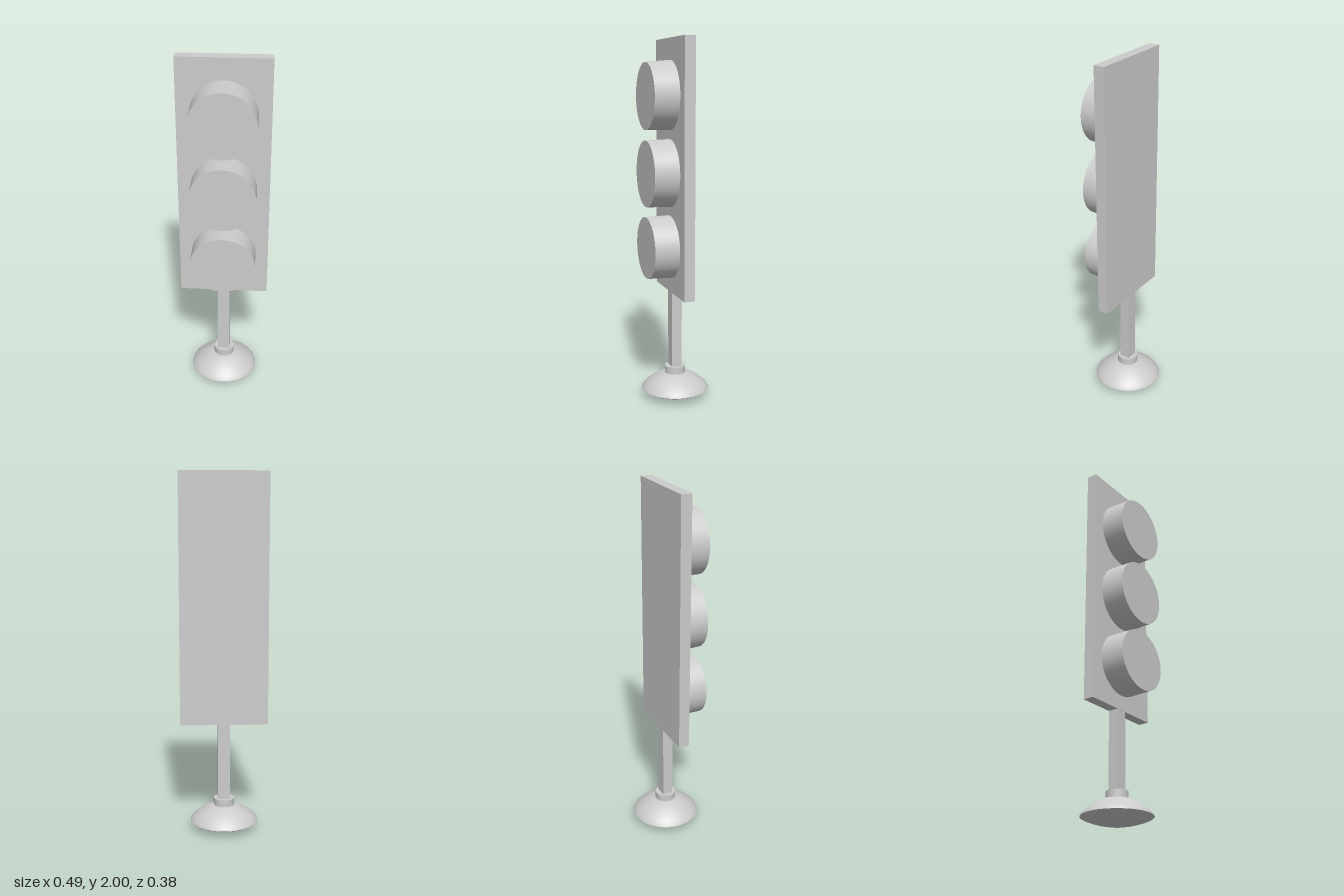
import * as THREE from 'three';

export function createModel() {
  const group = new THREE.Group();
  const material = new THREE.MeshStandardMaterial({ color: 0xcccccc });
  const add = (name, geometry, x = 0, y = 0, z = 0) => {
    const mesh = new THREE.Mesh(geometry, material);
    mesh.name = name;
    mesh.position.set(x, y, z);
    group.add(mesh);
    return mesh;
  };
  const lathe = (points) =>
    new THREE.LatheGeometry(points.map(([r, y]) => new THREE.Vector2(r, y)), 48);

  // Flat signal board and the square post that carries it
  add('signalBoard', new THREE.BoxGeometry(0.492, 1.39, 0.06), 0, 1.305, 0);
  add('post', new THREE.BoxGeometry(0.068, 0.5, 0.058), 0, 0.39, 0);

  // Three protruding lamps, slightly wider where they meet the board
  const lamps = [
    ['topLamp', 1.692, 0.18, 1.697, 0.187],
    ['middleLamp', 1.276, 0.181, 1.276, 0.186],
    ['bottomLamp', 0.867, 0.17, 0.867, 0.174],
  ];
  for (const [name, frontY, frontR, backY, backR] of lamps) {
    const geometry = new THREE.CylinderGeometry(1, 1, 0.14, 64);
    geometry.rotateX(Math.PI / 2);
    const p = geometry.attributes.position;
    for (let i = 0; i < p.count; i++) {
      const front = p.getZ(i) > 0;
      p.setX(i, p.getX(i) * 0.178);
      p.setY(i, p.getY(i) * (front ? frontR : backR) + (front ? 0 : backY - frontY));
    }
    add(name, geometry, 0, frontY, 0.098);
  }

  // Collar where the post enters the base
  add('collar', new THREE.CylinderGeometry(0.058, 0.058, 0.045, 48), 0, 0.154, 0);

  // Domed base: curved top and shallow bowl underneath
  add('baseDome', lathe([
    [0.19, 0.046], [0.186, 0.056], [0.17, 0.074], [0.145, 0.095],
    [0.115, 0.114], [0.085, 0.129], [0.055, 0.138], [0, 0.142],
  ]));
  add('baseUnderside', lathe([
    [0, 0], [0.04, 0.003], [0.08, 0.009], [0.12, 0.019],
    [0.155, 0.03], [0.18, 0.04], [0.19, 0.046],
  ]));

  return group;
}
